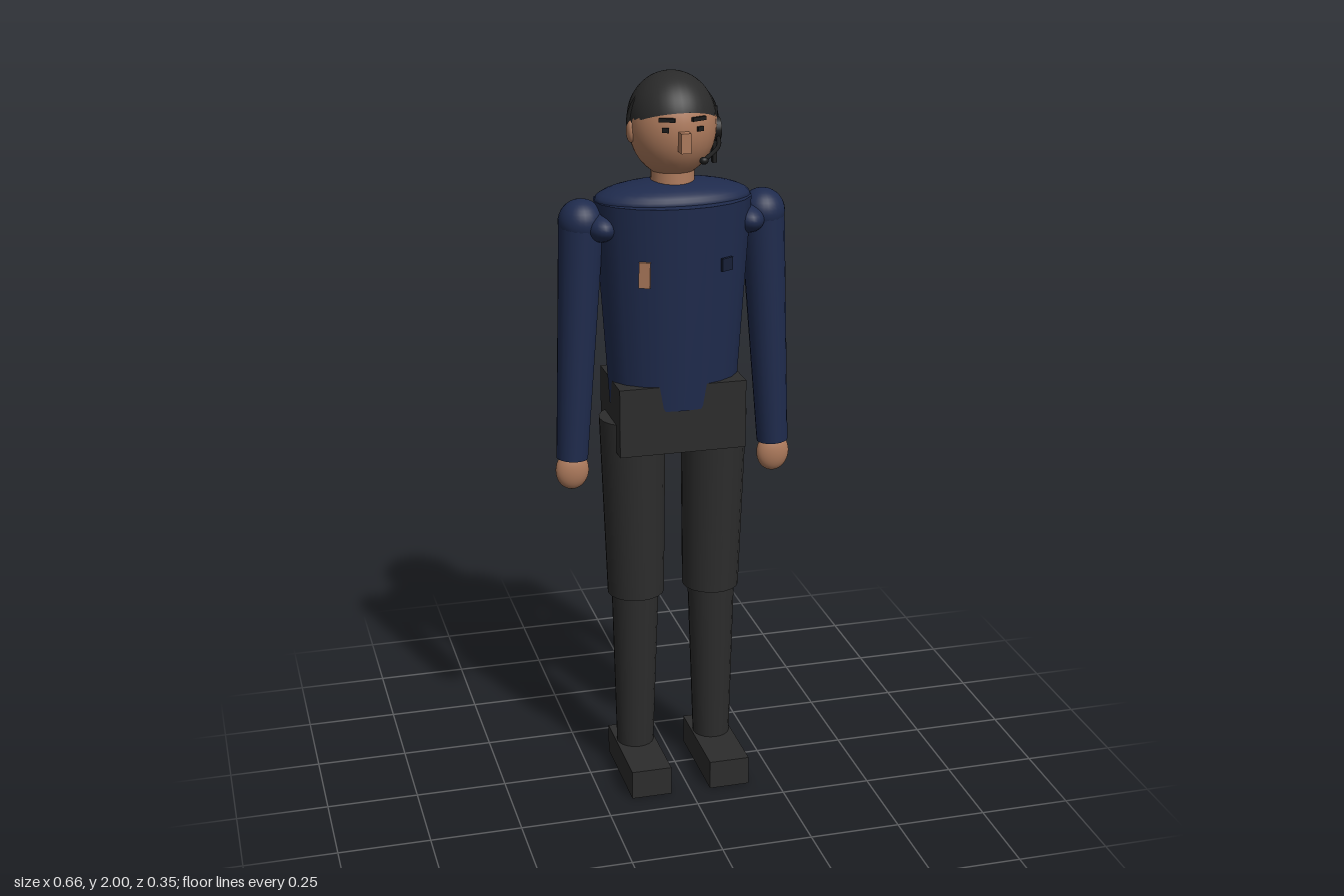
import * as THREE from 'three';

const mat = (name, color) => Object.assign(new THREE.MeshStandardMaterial({ color }), { name });

export function createModel() {
  const model = new THREE.Group();
  model.name = 'standingMan';
  const navy = mat('navy cloth', 0x1f2b4d);
  const black = mat('dark cloth', 0x2c2c2c);
  const hairColor = mat('hair', 0x2a2a2a);
  const skin = mat('skin', 0xad7a5c);
  const dark = mat('headset black', 0x1a1a1a);
  const patchColor = mat('dark patch', 0x172038);
  const Z = -0.024; // body axis depth

  const add = (name, geometry, material, x, y, z) => {
    const mesh = new THREE.Mesh(geometry, material);
    mesh.name = name;
    mesh.position.set(x, y, z);
    model.add(mesh);
    return mesh;
  };
  const box = (name, m, w, h, d, x, y, z) => add(name, new THREE.BoxGeometry(w, h, d), m, x, y, z);
  const ball = (name, m, rx, ry, rz, x, y, z) => {
    const mesh = add(name, new THREE.SphereGeometry(1, 28, 18), m, x, y, z);
    mesh.scale.set(rx, ry, rz);
    return mesh;
  };
  // Tapered limb between two points
  const limb = (name, m, a, b, ra, rb, sides = 20) => {
    const from = new THREE.Vector3(...a), to = new THREE.Vector3(...b);
    const dir = from.clone().sub(to);
    const mid = from.clone().add(to).multiplyScalar(0.5);
    const mesh = add(name, new THREE.CylinderGeometry(ra, rb, dir.length(), sides), m, mid.x, mid.y, mid.z);
    mesh.quaternion.setFromUnitVectors(new THREE.Vector3(0, 1, 0), dir.normalize());
    return mesh;
  };

  // Torso: tapered oval, with a low dome over the shoulders
  const torso = add('torso', new THREE.CylinderGeometry(1, 0.79, 0.56, 20), navy, 0, 1.39, Z);
  torso.scale.set(0.214, 1, 0.151);
  const p = torso.geometry.attributes.position;
  for (let i = 0; i < p.count; i++) if (p.getY(i) < 0) p.setX(i, p.getX(i) * 1.04);
  ball('shoulderDome', navy, 0.212, 0.05, 0.117, 0, 1.67, Z);
  box('pelvis', black, 0.35, 0.19, 0.228, 0, 1.085, Z);

  // Chest badge and patch
  const badge = box('chestBadge', skin, 0.03, 0.07, 0.008, -0.108, 1.495, 0.101);
  badge.rotation.set(0.06, -0.4, 0);
  const patch = box('chestPatch', patchColor, 0.035, 0.035, 0.008, 0.115, 1.51, 0.1);
  patch.rotation.set(0.06, 0.43, 0);

  // Arms and legs
  for (const [side, s] of [['left', 1], ['right', -1]]) {
    ball(side + 'ShoulderJoint', navy, 0.05, 0.042, 0.086, s * 0.2, 1.605, Z);
    ball(side + 'Shoulder', navy, 0.061, 0.061, 0.062, s * 0.248, 1.617, Z);
    limb(side + 'Sleeve', navy, [s * 0.248, 1.617, Z], [s * 0.284, 0.965, -0.016], 0.06, 0.043);
    ball(side + 'Hand', skin, 0.046, 0.055, 0.028, s * 0.285, 0.93, -0.014);
    limb(side + 'Thigh', black, [s * 0.115, 1.07, -0.02], [s * 0.108, 0.55, -0.02], 0.091, 0.079);
    limb(side + 'Shin', black, [s * 0.11, 0.56, -0.02], [s * 0.113, 0.07, -0.02], 0.066, 0.052);
    box(side + 'Shoe', black, 0.113, 0.082, 0.29, s * 0.113, 0.041, 0.03);
  }

  // Head
  limb('neck', skin, [0, 1.77, Z], [0, 1.69, Z], 0.056, 0.06);
  ball('head', skin, 0.116, 0.135, 0.114, 0, 1.86, Z);
  box('nose', skin, 0.027, 0.052, 0.04, 0, 1.838, 0.096);
  const hair = add('hair', new THREE.SphereGeometry(0.125, 36, 24, 0, Math.PI * 2, 0, 1.68), hairColor, 0, 1.875, -0.035);
  hair.rotation.x = -0.4;
  hair.scale.x = 0.93;
  hairColor.side = THREE.DoubleSide;
  for (const [side, s] of [['left', 1], ['right', -1]]) {
    ball(side + 'Ear', skin, 0.012, 0.03, 0.02, s * 0.113, 1.85, -0.02);
    const eye = box(side + 'Eye', dark, 0.018, 0.012, 0.008, s * 0.046, 1.868, 0.081);
    const brow = box(side + 'Brow', dark, 0.042, 0.01, 0.009, s * 0.042, 1.894, 0.081);
    eye.rotation.y = brow.rotation.y = s * 0.4;
  }

  // Headset: band over the head, ear cup, clip bar and microphone boom
  const band = add('headband', new THREE.TorusGeometry(0.118, 0.007, 8, 32, Math.PI), dark, 0, 1.868, Z);
  band.scale.y = 0.95;
  const cup = add('earCup', new THREE.CylinderGeometry(0.032, 0.032, 0.018, 20), dark, 0.116, 1.845, -0.022);
  cup.rotation.z = Math.PI / 2;
  box('earClip', dark, 0.012, 0.15, 0.016, 0.113, 1.83, -0.022);
  const boom = new THREE.CatmullRomCurve3([
    new THREE.Vector3(0.12, 1.835, -0.02),
    new THREE.Vector3(0.108, 1.81, 0.035),
    new THREE.Vector3(0.055, 1.785, 0.085),
  ]);
  add('microphoneBoom', new THREE.TubeGeometry(boom, 12, 0.006, 8), dark, 0, 0, 0);
  ball('microphone', dark, 0.012, 0.01, 0.01, 0.055, 1.785, 0.085);

  return model;
}
